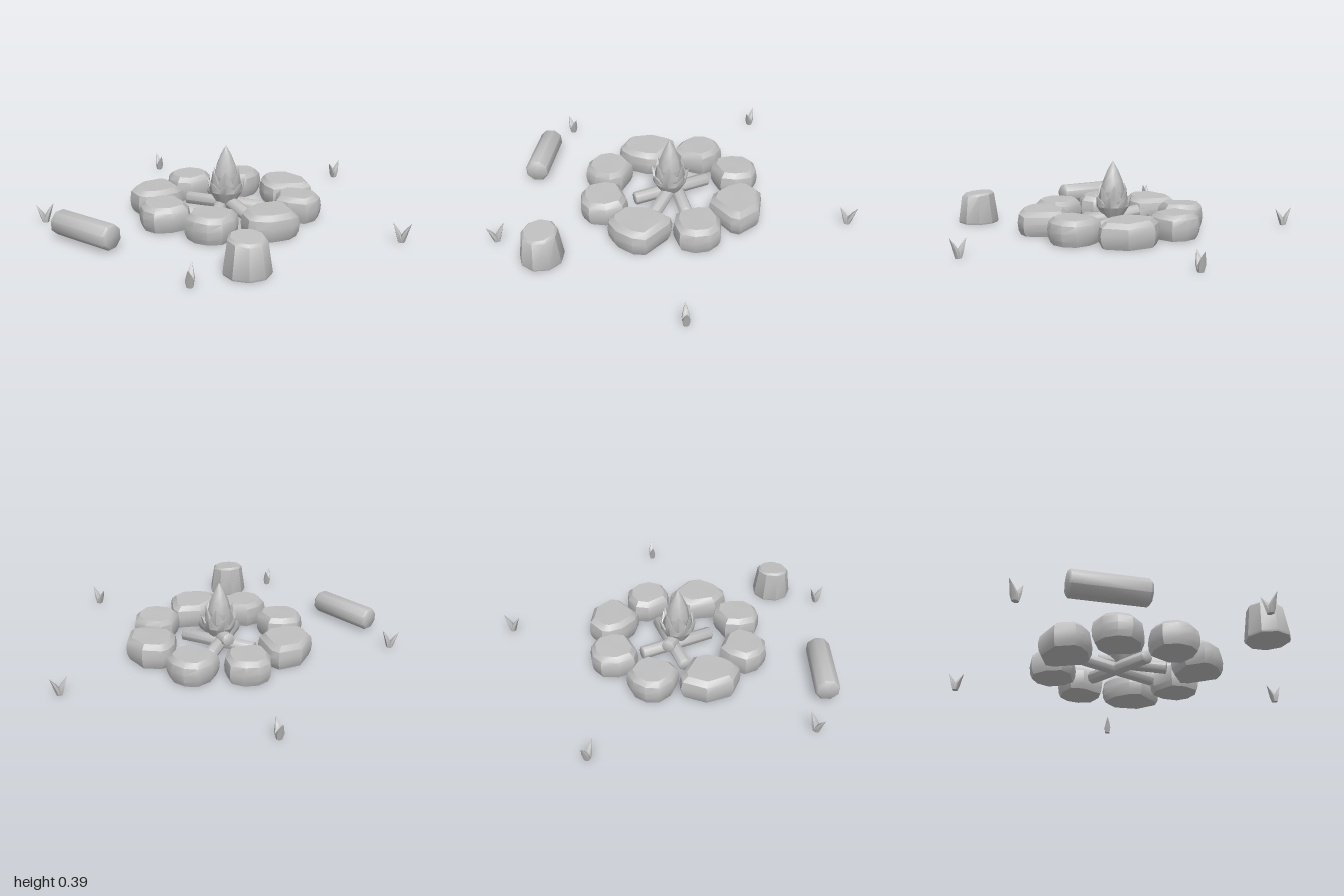
import * as THREE from 'three';
import { toCreasedNormals } from 'three/addons/utils/BufferGeometryUtils.js';

const grey = new THREE.MeshStandardMaterial({ color: 0xbfbfbf });
grey.name = 'stone grey';

// Closed solid through rings of [x, y, z] points, each ring running from +x towards +z
function loft(rings, crease = 0.7) {
  const n = rings[0].length;
  const points = rings.flat();
  const index = [];
  for (let r = 0; r < rings.length - 1; r++) {
    for (let i = 0; i < n; i++) {
      const j = (i + 1) % n, a = r * n, b = a + n;
      index.push(a + i, b + i, a + j, b + i, b + j, a + j);
    }
  }
  const middle = ring => [0, 1, 2].map(k => ring.reduce((sum, p) => sum + p[k], 0) / n);
  const bottom = points.push(middle(rings[0])) - 1;
  const top = points.push(middle(rings[rings.length - 1])) - 1;
  const last = (rings.length - 1) * n;
  for (let i = 0; i < n; i++) {
    const j = (i + 1) % n;
    index.push(bottom, i, j, top, last + j, last + i);
  }
  const geometry = new THREE.BufferGeometry();
  geometry.setAttribute('position', new THREE.Float32BufferAttribute(points.flat(), 3));
  geometry.setIndex(index);
  return toCreasedNormals(geometry, crease);
}

// Regular ring; radius and height may depend on the point number
function ring(n, radius, height, turn = 0) {
  return Array.from({ length: n }, (_, i) => {
    const a = turn + i / n * Math.PI * 2;
    const r = typeof radius === 'function' ? radius(i) : radius;
    const x = r * Math.cos(a), z = r * Math.sin(a);
    return [x, typeof height === 'function' ? height(i, x, z) : height, z];
  });
}

function add(parent, name, geometry, x = 0, y = 0, z = 0) {
  const mesh = new THREE.Mesh(geometry, grey);
  mesh.name = name;
  mesh.position.set(x, y, z);
  parent.add(mesh);
  return mesh;
}

// Log with slightly rounded ends between two points
function addLog(parent, name, from, to, radius, sides, bevel) {
  const a = new THREE.Vector3(...from), b = new THREE.Vector3(...to);
  const h = a.distanceTo(b) / 2;
  const geometry = loft([
    ring(sides, radius - bevel, -h), ring(sides, radius, -h + bevel),
    ring(sides, radius, h - bevel), ring(sides, radius - bevel, h),
  ], 0.9);
  const log = add(parent, name, geometry);
  log.position.copy(a).add(b).multiplyScalar(0.5);
  log.quaternion.setFromUnitVectors(new THREE.Vector3(0, 1, 0), b.sub(a).normalize());
}

// Stone with a rounded flat top from a plan outline
function stoneGeometry(outline, lean) {
  const levels = [[0, 0.88], [0.03, 0.97], [0.07, 1], [0.112, 0.95], [0.138, 0.76]];
  return loft(levels.map(([y, s]) => outline.map(([x, z], i) =>
    [x * s, y > 0.1 ? y + lean * x + 0.003 * Math.sin(i * 2.3) : y, z * s])), 0.6);
}

// Bowl of pointed flame tongues
function crown(tongues, base, wide, tip, turn) {
  const n = tongues * 2;
  return loft([
    ring(n, base[0], base[1], turn),
    ring(n, wide[0], wide[1], turn),
    ring(n, i => i % 2 ? wide[0] * 0.98 : tip[0], i => i % 2 ? wide[1] + 0.02 : tip[1], turn),
    ring(n, wide[0] * 0.6, wide[1] + 0.01, turn),
  ], 0.5);
}

export function createModel() {
  const model = new THREE.Group();
  model.name = 'campsite';

  // Ring of stones: small and large shapes, turned individually
  const small = stoneGeometry([[-0.01, -0.13], [0.07, -0.11], [0.13, -0.05], [0.12, 0.05],
    [0.075, 0.12], [-0.065, 0.125], [-0.13, 0.08], [-0.13, -0.02], [-0.085, -0.105]], 0.02);
  const large = stoneGeometry([[-0.16, 0.04], [-0.13, -0.07], [0.01, -0.145], [0.15, -0.11],
    [0.165, -0.06], [0.11, 0.12], [0.04, 0.145], [-0.07, 0.125], [-0.14, 0.08]], -0.02);
  const stones = [
    [small, -0.03, -0.345, 0], [small, 0.25, -0.23, 45], [large, 0.38, 0.055, 102],
    [small, 0.26, 0.335, 130], [large, -0.03, 0.46, 0], [small, -0.31, 0.34, 225],
    [small, -0.43, 0.06, 270], [large, -0.325, -0.225, -13],
  ];
  const fireRing = new THREE.Group();
  fireRing.name = 'fireRing';
  model.add(fireRing);
  for (const [shape, x, z, turn] of stones) {
    add(fireRing, 'stone', shape, x, 0, z).rotation.y = -THREE.MathUtils.degToRad(turn);
  }

  // Crossed firewood
  addLog(model, 'firewood', [-0.155, 0.055, -0.155], [0.135, 0.04, 0.195], 0.037, 8, 0.003);
  addLog(model, 'firewood', [0.11, 0.055, -0.14], [-0.19, 0.04, 0.195], 0.037, 8, 0.003);
  addLog(model, 'firewood', [-0.027, 0.1, -0.09], [-0.027, 0.04, 0.29], 0.037, 8, 0.003);

  // Fire: tall core inside two crowns of tongues
  const fire = new THREE.Group();
  fire.name = 'fire';
  fire.position.set(-0.032, 0, 0.06);
  model.add(fire);
  const core = [[0.04, 0.1], [0.062, 0.16], [0.068, 0.22], [0.055, 0.28], [0.03, 0.34], [0.002, 0.39]];
  add(fire, 'flameCore', loft(core.map(([r, y]) => ring(8, r, y, 0.2)), 0.8));
  add(fire, 'innerFlames', crown(6, [0.05, 0.08], [0.085, 0.165], [0.08, 0.26], 0.1));
  add(fire, 'outerFlames', crown(7, [0.055, 0.07], [0.095, 0.135], [0.108, 0.2], 0.35));

  // Seats: a fallen log and a stump with a slanting top
  addLog(model, 'seatLog', [-0.945, 0.075, -0.125], [-0.815, 0.075, 0.245], 0.067, 8, 0.012);
  const slope = y => (i, x, z) => y - z * 0.1;
  add(model, 'stump', loft([
    ring(9, 0.113, 0), ring(9, 0.117, 0.012), ring(9, 0.095, slope(0.165)),
    ring(9, 0.082, slope(0.178)),
  ], 0.6), -0.41, 0, 0.805);

  // Grass tufts: two blades leaning apart, turned about y
  const bladeLevels = [[0, 0.016, 0], [0.035, 0.022, 0.006], [0.07, 0.013, 0.022], [0.105, 0.001, 0.042]];
  const blade = side => loft(bladeLevels.map(([y, r, shift]) =>
    ring(6, r, y * (side > 0 ? 1 : 0.92)).map(([x, h, z]) => [x * 0.75 + side * (shift + 0.005), h, z])), 0.9);
  const blades = [blade(-1), blade(1)];
  const tufts = [[0.085, -0.935, 83], [0.95, -0.14, 8], [-0.935, -0.355, -29],
    [-0.705, 0.79, 49], [0.46, 0.925, -61]];
  for (const [x, z, turn] of tufts) {
    const tuft = new THREE.Group();
    tuft.name = 'grassTuft';
    tuft.position.set(x, 0, z);
    tuft.rotation.y = THREE.MathUtils.degToRad(turn);
    blades.forEach(geometry => add(tuft, 'grassBlade', geometry));
    model.add(tuft);
  }
  return model;
}
